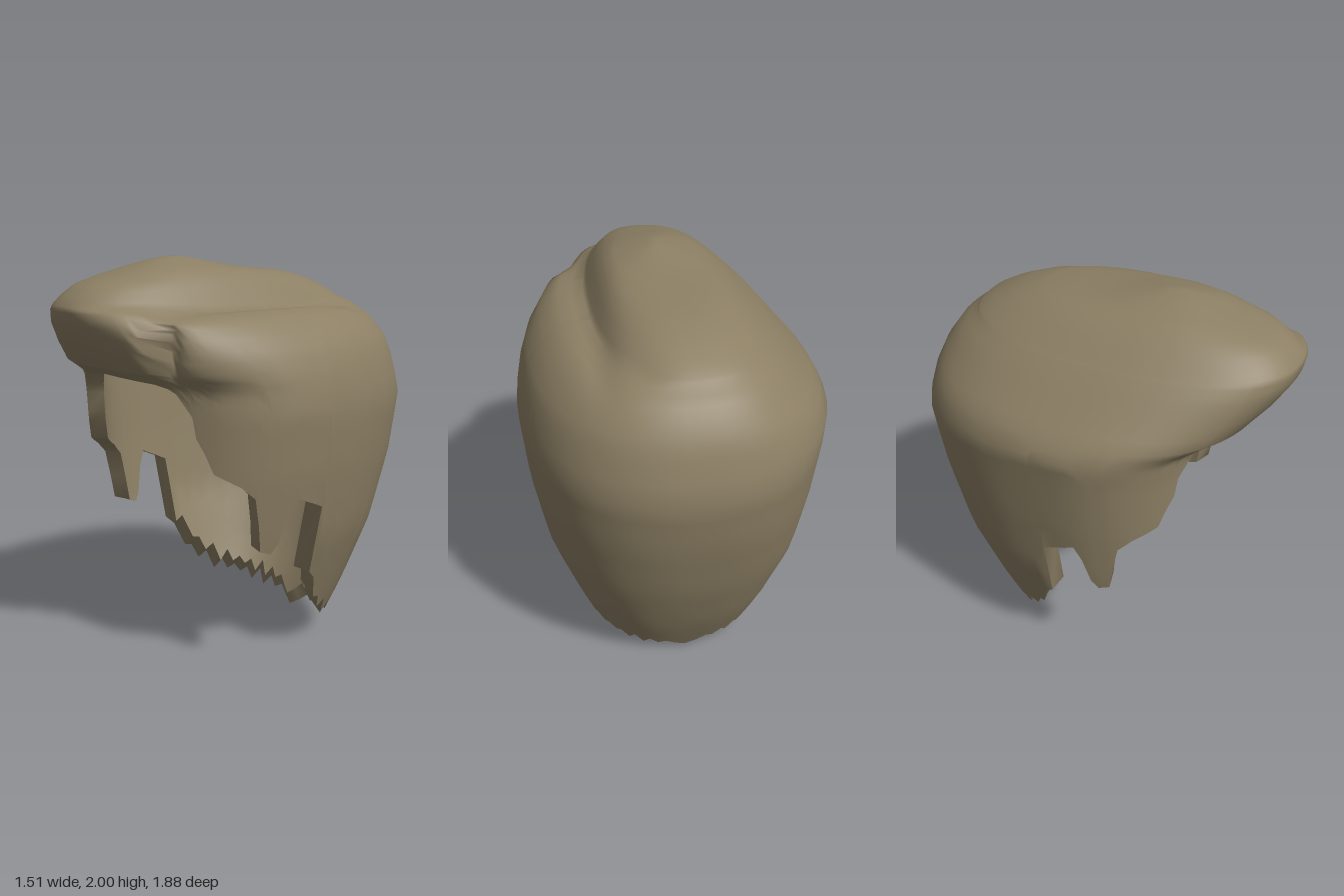
import * as THREE from 'three';

// Horizontal sections: height, right half-width, left half-width, front z, back z, centre z
const LEVELS = [
  [2.0, 0.02, 0.02, 0.36, 0.28, 0.32],
  [1.985, 0.1, 0.08, 0.45, 0.2, 0.32],
  [1.95, 0.21, 0.2, 0.58, 0.0, 0.28],
  [1.92, 0.27, 0.25, 0.7, -0.33, 0.2],
  [1.88, 0.33, 0.29, 0.83, -0.48, 0.12],
  [1.83, 0.39, 0.33, 0.9, -0.6, 0.08],
  [1.785, 0.44, 0.37, 0.94, -0.68, 0.05],
  [1.76, 0.47, 0.5, 0.945, -0.7, 0.04],
  [1.7, 0.53, 0.6, 0.93, -0.78, 0.02],
  [1.6, 0.62, 0.68, 0.87, -0.85, 0],
  [1.5, 0.71, 0.72, 0.79, -0.89, 0],
  [1.42, 0.755, 0.74, 0.66, -0.91, 0],
  [1.3, 0.74, 0.755, 0.65, -0.94, 0],
  [1.0, 0.71, 0.73, 0.65, -0.89, 0],
  [0.65, 0.665, 0.67, 0.65, -0.79, 0],
  [0.3, 0.55, 0.55, 0.6, -0.65, 0],
  [0.0, 0.44, 0.44, 0.5, -0.49, 0],
];

// Hairline: degrees from the front, height (fringe, temple, sideburn, ear gap, nape)
const HEM = [
  [0, 1.46], [20, 1.44], [27, 1.4], [33, 1.3], [35, 1.2], [39, 1.13], [43, 1.04],
  [55, 0.98], [62, 0.92], [65, 0.78], [67, 0.65], [72, 0.63], [75, 0.68], [78, 0.82],
  [81, 0.9], [88, 0.86], [91, 0.83], [92, 0.47], [95, 0.4], [99, 0.3], [106, 0.23],
  [116, 0.17], [140, 0.11], [180, 0.04],
];

const lerp = THREE.MathUtils.lerp;

function sectionAt(y) {
  let i = 0;
  while (i < LEVELS.length - 2 && LEVELS[i + 1][0] > y) i++;
  const a = LEVELS[i], b = LEVELS[i + 1];
  const t = THREE.MathUtils.clamp((y - a[0]) / (b[0] - a[0]), 0, 1);
  return a.map((v, k) => lerp(v, b[k], t));
}

// Columns round the head, closer together where the hairline is steep
function makeColumns() {
  const half = [];
  HEM.forEach(([deg, y], i) => {
    if (i === HEM.length - 1) { half.push({ deg, y }); return; }
    const [d2, y2] = HEM[i + 1];
    const n = Math.ceil((d2 - deg) / 5);
    for (let k = 0; k < n; k++) half.push({ deg: lerp(deg, d2, k / n), y: lerp(y, y2, k / n) });
  });
  // ragged ends along the nape
  half.forEach((c, i) => {
    if (c.deg > 94 && c.deg < 180) c.y += (i % 2 ? 0.032 : -0.018) + 0.012 * Math.sin(i * 2.3);
    if (c.deg === 180) c.y = 0;
  });
  const other = half.slice(1, -1).reverse().map(c => ({ deg: 360 - c.deg, y: c.y }));
  return half.concat(other);
}

function pointAt(deg, y, inner) {
  let [, right, left, front, back, mid] = sectionAt(y);
  if (inner) {
    right = Math.max(right - 0.11, 0.01);
    left = Math.max(left - 0.11, 0.01);
    front = Math.max(Math.min(front, 0.64) - 0.06, mid + 0.01);
    back = Math.min(back + 0.06, mid - 0.01);
  }
  const a = THREE.MathUtils.degToRad(deg);
  const s = Math.sin(a), c = Math.cos(a);
  const bend = v => Math.sign(v) * Math.pow(Math.abs(v), 0.833);
  const x = bend(s) * (s > 0 ? left : right);
  let z = mid + bend(c) * (c > 0 ? front - mid : mid - back);
  if (inner) {
    y -= 0.1 * THREE.MathUtils.smoothstep(y, 1.45, 1.75);
  } else {
    // side parting and the step back of the shorter side
    const fade = THREE.MathUtils.smoothstep(z, -0.75, -0.3) * THREE.MathUtils.smoothstep(y, 1.6, 1.72);
    y -= 0.035 * fade * Math.exp(-(((x - 0.38) / 0.06) ** 2));
    const limit = lerp(1, 0.64, THREE.MathUtils.smoothstep(x, 0.34, 0.41));
    z = Math.min(z, limit);
  }
  return [x, y, z];
}

// Closed loops of points, joined row to row
function loft(rows, flip) {
  const n = rows[0].length, index = [];
  for (let i = 0; i < rows.length - 1; i++) {
    for (let j = 0; j < n; j++) {
      const a = i * n + j, b = i * n + (j + 1) % n, c = a + n, d = b + n;
      if (flip) index.push(a, d, c, a, b, d);
      else index.push(a, c, d, a, d, b);
    }
  }
  const g = new THREE.BufferGeometry();
  g.setAttribute('position', new THREE.Float32BufferAttribute(rows.flat(2), 3));
  g.setIndex(index);
  g.computeVertexNormals();
  return g;
}

function shellRows(columns, inner) {
  const rows = [];
  const upper = LEVELS.filter(l => l[0] >= 1.5).map(l => l[0]);
  // crown point
  rows.push(columns.map(() => [0, inner ? 1.9 : 2, 0.32]));
  upper.forEach((y, i) => {
    rows.push(columns.map(c => pointAt(c.deg, y, inner)));
    if (i < upper.length - 1) {
      const m = (y + upper[i + 1]) / 2;
      rows.push(columns.map(c => pointAt(c.deg, m, inner)));
    }
  });
  const steps = 14;
  for (let k = 1; k <= steps; k++) {
    rows.push(columns.map(c => {
      const end = c.y + (inner && c.deg > 94 && c.deg < 266 ? 0.07 : 0);
      return pointAt(c.deg, lerp(1.5, end, k / steps), inner);
    }));
  }
  return rows;
}

export function createModel() {
  const group = new THREE.Group();
  group.name = 'hair';
  const hair = new THREE.MeshStandardMaterial({ color: 0x8c7f64 });
  hair.name = 'ash brown hair';

  const columns = makeColumns();
  const outer = shellRows(columns, false);
  const inner = shellRows(columns, true);
  const add = (name, geometry) => {
    const mesh = new THREE.Mesh(geometry, hair);
    mesh.name = name;
    group.add(mesh);
  };
  add('outerHair', loft(outer, false));
  add('innerLining', loft(inner, true));
  add('hairlineRim', loft([outer[outer.length - 1], inner[inner.length - 1]], false));
  return group;
}
